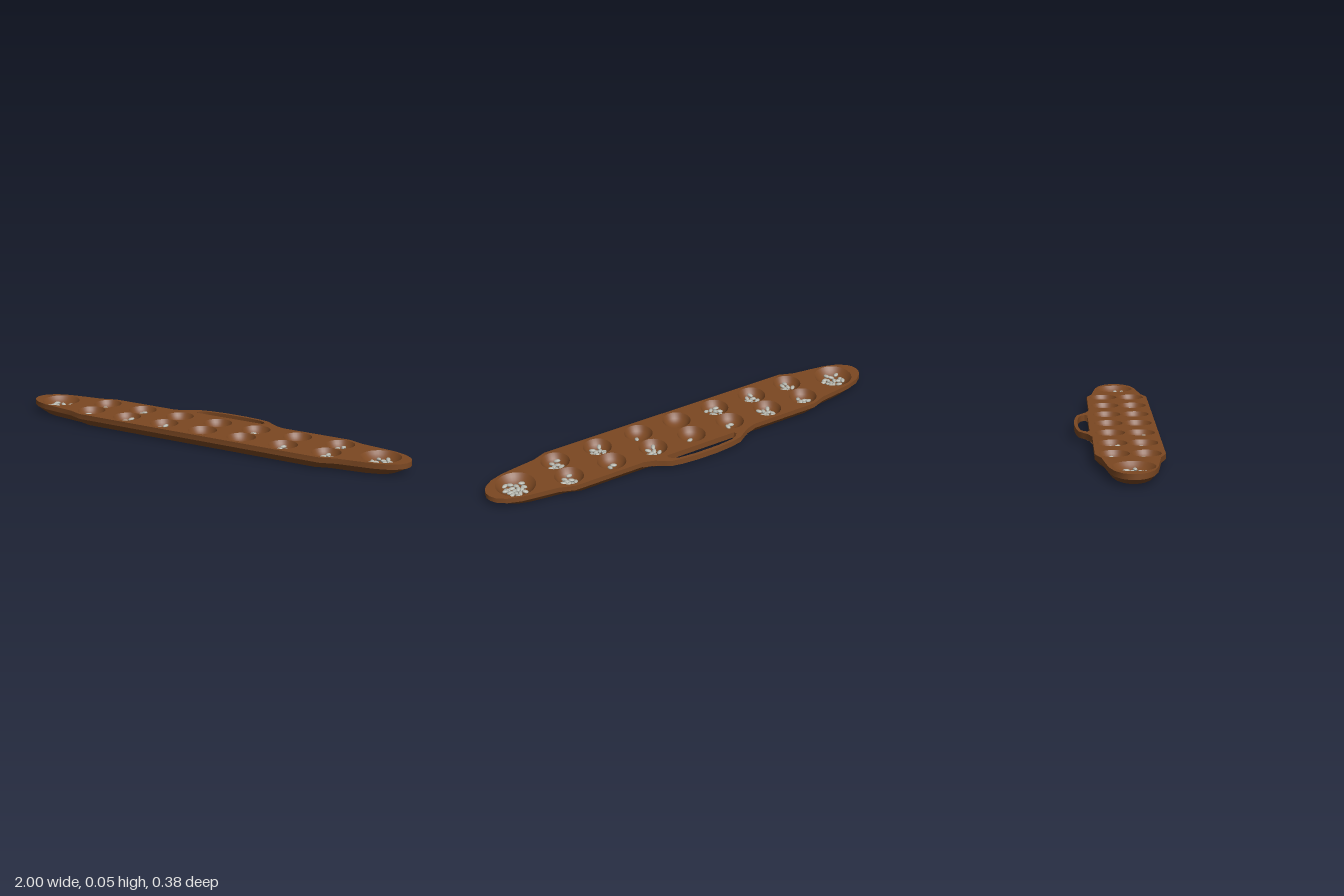
import * as THREE from 'three';
import { mergeGeometries, toCreasedNormals } from 'three/addons/utils/BufferGeometryUtils.js';

const TOP = 0.055, CZ = 0.037;

// Small seeded generator for the scattered seeds
function makeRandom(seed) {
  return () => (seed = (seed * 16807) % 2147483647) / 2147483647;
}

export function createModel() {
  const model = new THREE.Group();
  const wood = new THREE.MeshStandardMaterial({ color: 0x7c4822, side: THREE.DoubleSide });
  wood.name = 'brown wood';
  const stone = new THREE.MeshStandardMaterial({ color: 0xb4b5ac });
  stone.name = 'pale grey seeds';

  const add = (name, geometry, material = wood, parent = model) => {
    const mesh = new THREE.Mesh(geometry, material);
    mesh.name = name;
    parent.add(mesh);
    return mesh;
  };

  // Board outline: [x, half depth], mirrored into four quadrants (counterclockwise from above)
  const quarter = [[1, 0], [0.995, 0.025], [0.98, 0.05], [0.94, 0.08], [0.88, 0.1], [0.8, 0.112], [0.71, 0.124], [0.64, 0.15]];
  const half = [...quarter, ...quarter.slice(1).reverse().map(([x, d]) => [-x, d])];
  const outline = [...half, [-1, 0], ...half.slice(1).reverse().map(([x, d]) => [x, -d])];
  const ring = (sx, sd, y) => outline.map(([x, d]) => [x * sx, y, CZ - d * sd]);

  // Sides: bevelled underside, then an upright rim
  const rings = [ring(0.94, 0.84, 0), ring(1, 1, 0.031), ring(1, 1, TOP)];
  const pos = [];
  for (let r = 0; r < 2; r++) {
    for (let i = 0; i < outline.length; i++) {
      const j = (i + 1) % outline.length;
      const [a, b, c, d] = [rings[r][i], rings[r][j], rings[r + 1][j], rings[r + 1][i]];
      pos.push(...a, ...b, ...c, ...a, ...c, ...d);
    }
  }
  const sides = new THREE.BufferGeometry();
  sides.setAttribute('position', new THREE.Float32BufferAttribute(pos, 3));
  add('boardSides', toCreasedNormals(sides, 0.5));

  const flatShape = (points) => new THREE.Shape(points.map(([x, , z]) => new THREE.Vector2(x, -z)));
  add('boardBottom', new THREE.ShapeGeometry(flatShape(rings[0])).rotateX(Math.PI / 2).scale(1, 1, -1).rotateZ(0)
    .applyMatrix4(new THREE.Matrix4().makeScale(1, 1, -1)).applyMatrix4(new THREE.Matrix4().makeScale(1, 1, -1)));

  // Pits: [x, z, radius, depth, seed count]
  const columns = [-0.63, -0.425, -0.215, -0.005, 0.2, 0.415, 0.63];
  const backSeeds = [6, 9, 2, 1, 7, 2, 8], frontSeeds = [7, 8, 9, 0, 1, 8, 8];
  const pits = [[-0.86, 0.04, 0.09, 0.046, 15], [0.86, 0.035, 0.09, 0.046, 17]];
  columns.forEach((x, i) => {
    pits.push([x, -0.03, 0.066, 0.043, backSeeds[i]]);
    pits.push([x, 0.104, 0.066, 0.043, frontSeeds[i]]);
  });

  // Top face with a round opening for each pit
  const topShape = flatShape(rings[2]);
  for (const [x, z, r] of pits) {
    const hole = new THREE.Path();
    hole.absarc(x, -z, r, 0, Math.PI * 2, true);
    topShape.holes.push(hole);
  }
  add('boardTop', new THREE.ShapeGeometry(topShape, 16).rotateX(-Math.PI / 2).translate(0, TOP, 0));

  // Hollow bowls and the seeds lying in them
  const random = makeRandom(4217);
  const bowls = new THREE.Group();
  bowls.name = 'pits';
  const seeds = [];
  for (const [x, z, r, depth, count] of pits) {
    const R = (r * r + depth * depth) / (2 * depth);
    const height = (d) => TOP - depth + R - Math.sqrt(R * R - d * d);
    const profile = [];
    for (let k = 8; k >= 0; k--) profile.push(new THREE.Vector2((r * k) / 8, height((r * k) / 8)));
    add(r > 0.08 ? 'storeBowl' : 'pitBowl', new THREE.LatheGeometry(profile, 32).translate(x, 0, z), wood, bowls);

    const spread = r * 0.6 * Math.min(1, Math.sqrt(count / 8));
    for (let s = 0; s < count; s++) {
      const a = s * 2.4 + random() * 0.5;
      const d = spread * Math.sqrt((s + 0.3) / count);
      const seed = new THREE.SphereGeometry(1, 10, 7).scale(0.016, 0.007, 0.01);
      seed.rotateZ((random() - 0.5) * 0.5).rotateY(random() * Math.PI);
      seed.translate(x + d * Math.cos(a), height(d) + 0.007 + random() * 0.003, z + d * Math.sin(a));
      seeds.push(seed);
    }
  }
  model.add(bowls);
  add('seeds', mergeGeometries(seeds), stone);

  // Carrying handle at the back, with a long grip opening
  const mirrored = (points) => [...points, ...points.slice().reverse().map(([x, z]) => [-x, z])]
    .map(([x, z]) => new THREE.Vector2(x, -z));
  const handle = new THREE.Shape(mirrored([[0.3, -0.112], [0.25, -0.128], [0.215, -0.15], [0.185, -0.17], [0.13, -0.181], [0.05, -0.188]]));
  handle.holes.push(new THREE.Path(mirrored([[0.178, -0.122], [0.184, -0.135], [0.17, -0.152], [0.14, -0.164], [0.06, -0.172]])));
  const handleGeo = new THREE.ExtrudeGeometry(handle, { depth: 0.028, bevelEnabled: false });
  add('handle', toCreasedNormals(handleGeo.rotateX(-Math.PI / 2).translate(0, TOP - 0.028, 0), 0.6));

  // Sloped fillets under both handle roots
  for (const side of [-1, 1]) {
    const root = new THREE.Shape([[0.095, 0.006], [0.112, 0.01], [0.122, 0.022], [0.135, 0.028], [0.1, 0.032]]
      .map(([u, y]) => new THREE.Vector2(u, y)));
    const geo = new THREE.ExtrudeGeometry(root, { depth: 0.06, bevelEnabled: false });
    add('handleRoot', geo.rotateY(Math.PI / 2).translate(side * 0.215 - 0.03, 0, 0));
  }
  return model;
}
